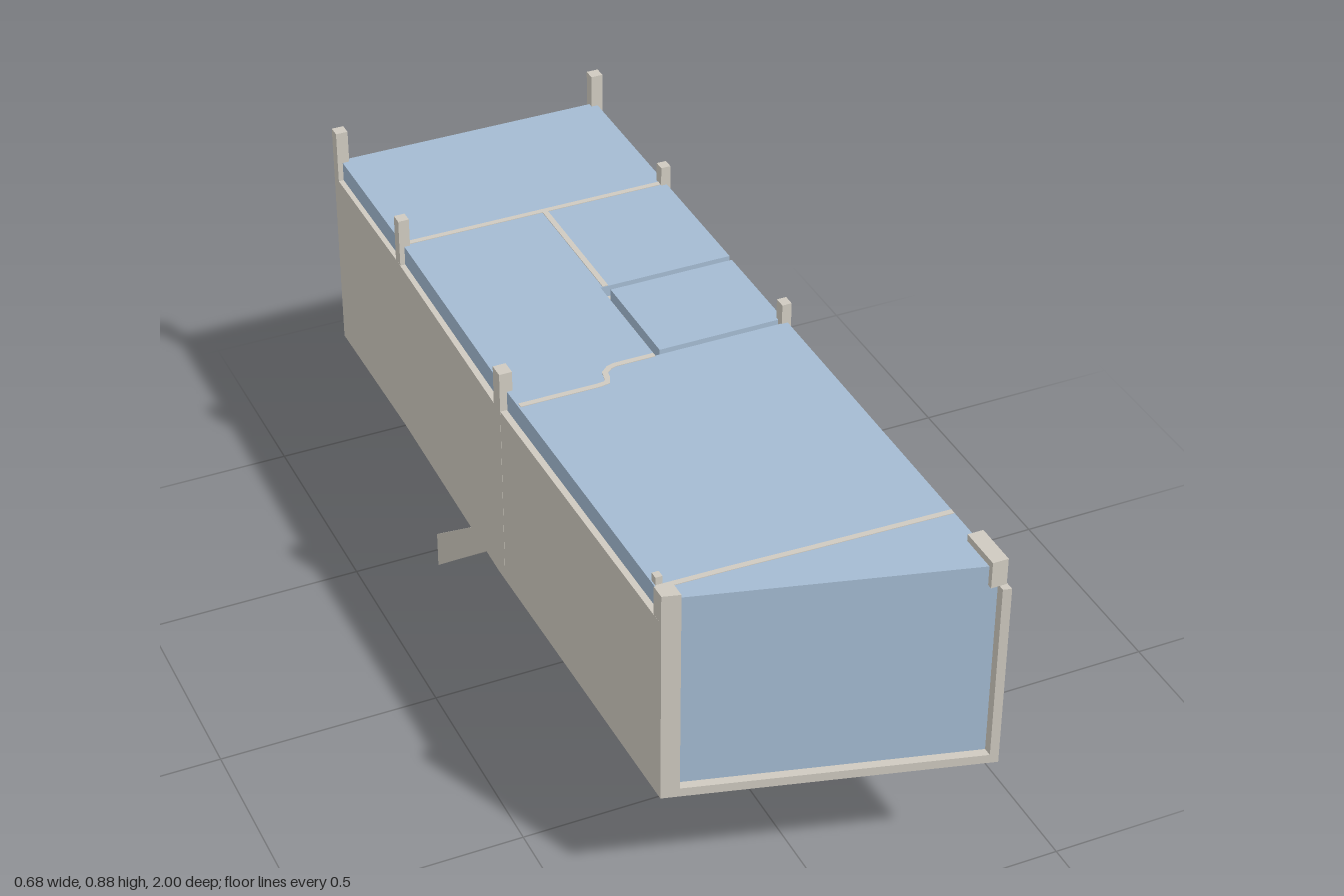
import * as THREE from 'three';

export function createModel() {
  const model = new THREE.Group();
  model.name = 'roomBlock';
  const wallMat = new THREE.MeshStandardMaterial({ color: 0xcfcac0 });
  wallMat.name = 'warm grey wall';
  const roomMat = new THREE.MeshStandardMaterial({ color: 0xa4bbd2 });
  roomMat.name = 'pale blue room';

  function add(name, geometry, material) {
    const mesh = new THREE.Mesh(geometry, material);
    mesh.name = name;
    model.add(mesh);
    return mesh;
  }

  // Upright prism over a plan given as [x, z] corners, with optional holes
  const toVec = ([x, z]) => new THREE.Vector2(x, -z);
  function prism(name, plan, y0, y1, material, holes = []) {
    const shape = new THREE.Shape(plan.map(toVec));
    for (const hole of holes) shape.holes.push(new THREE.Path(hole.map(toVec)));
    const g = new THREE.ExtrudeGeometry(shape, { depth: y1 - y0, bevelEnabled: false });
    g.rotateX(-Math.PI / 2);
    g.translate(0, y0, 0);
    return add(name, g, material);
  }
  const rect = (x0, x1, z0, z1) => [[x0, z0], [x1, z0], [x1, z1], [x0, z1]];
  const block = (name, x0, x1, z0, z1, y0, y1, mat = wallMat) =>
    prism(name, rect(x0, x1, z0, z1), y0, y1, mat);

  const base = 0.305, floor = 0.326, wallTop = 0.75, roomTop = 0.796;
  // z of the slanted front edge at a given x
  const frontZ = (x) => 0.82 + (x + 0.33) * (0.18 / 0.67);

  // Floor slab with a shaft opening and a stair opening
  const shaft = rect(0.03, 0.305, -0.222, 0.012);
  const stairwell = rect(-0.318, -0.19, -0.575, -0.12);
  prism('floorSlab',
    [[-0.33, 0.82], [-0.341, 0], [-0.328, -0.6], [-0.328, -1], [0.336, -1], [0.332, -0.6], [0.337, 0], [0.34, 1]],
    base, floor, wallMat, [shaft, stairwell]);
  prism('stairwellTrim', rect(-0.322, -0.175, -0.58, -0.1), 0.301, base, wallMat, [stairwell]);

  // Outer walls: left, back and right, with a gap for the tall window
  prism('outerWall', [
    [-0.33, 0.82], [-0.341, 0], [-0.328, -0.6], [-0.328, -1], [0.336, -1], [0.332, -0.6], [0.335, -0.24],
    [0.322, -0.24], [0.322, -0.985], [-0.316, -0.985], [-0.316, -0.6], [-0.326, 0], [-0.316, frontZ(-0.316)],
  ], floor, wallTop, wallMat);
  prism('frontSideWall',
    [[0.322, 0.045], [0.337, 0.045], [0.34, 1], [0.322, frontZ(0.322)]], floor, wallTop, wallMat);

  // Main room volume, notched around the small room
  prism('mainRoom', [
    [-0.316, frontZ(-0.316) - 0.02], [-0.325, 0], [-0.316, -0.6], [-0.316, -0.985], [0.324, -0.985],
    [0.324, -0.248], [0.013, -0.248], [0.013, 0.04], [0.324, 0.04], [0.324, frontZ(0.324) - 0.02],
  ], floor, roomTop, roomMat);
  block('smallRoom', 0.03, 0.322, -0.232, 0.024, floor, roomTop, roomMat);

  // Low wall in the gap around the small room
  prism('smallRoomWall', [
    [0.325, -0.247], [0.014, -0.247], [0.014, 0.039], [0.325, 0.039],
    [0.325, 0.025], [0.029, 0.025], [0.029, -0.233], [0.325, -0.233],
  ], floor, 0.77, wallMat);

  // Partition tops, drawn as flat bands along a path
  function partition(name, points, width = 0.013) {
    const p = points.map(([x, z]) => new THREE.Vector2(x, z));
    const sides = [[], []];
    p.forEach((v, i) => {
      const dir = p[Math.min(i + 1, p.length - 1)].clone().sub(p[Math.max(i - 1, 0)]).normalize();
      sides[0].push([v.x - dir.y * width / 2, v.y + dir.x * width / 2]);
      sides[1].unshift([v.x + dir.y * width / 2, v.y - dir.x * width / 2]);
    });
    prism(name, [...sides[0], ...sides[1]], roomTop - 0.004, roomTop + 0.0015, wallMat);
  }
  partition('rearPartition', [[-0.315, -0.59], [0.323, -0.59]]);
  partition('middlePartition', [[0.025, -0.59], [0.025, -0.249]]);
  partition('frontPartition', [[-0.315, 0.765], [-0.16, 0.768], [0.02, 0.775], [0.323, 0.784]]);
  partition('curvedPartition', [
    [-0.32, 0.092], [-0.14, 0.093], [-0.12, 0.09], [-0.114, 0.075],
    [-0.11, 0.055], [-0.095, 0.042], [-0.08, 0.037], [0.012, 0.037],
  ]);

  // Posts rising above the walls
  const posts = [
    ['backRightPost', -0.328, -0.3, -1, -0.972, 0.875],
    ['backLeftPost', 0.309, 0.337, -1, -0.972, 0.875],
    ['rearRightPost', -0.328, -0.303, -0.605, -0.578, 0.864],
    ['rearLeftPost', 0.31, 0.333, -0.605, -0.58, 0.842],
    ['middleRightPost', -0.341, -0.312, 0, 0.035, 0.843],
    ['windowPost', 0.31, 0.332, 0.015, 0.042, 0.843],
    ['frontRightStub', -0.314, -0.299, 0.74, 0.758, 0.815],
  ];
  for (const [name, x0, x1, z0, z1, top] of posts) block(name, x0, x1, z0, z1, floor, top);
  block('frontLeftBlock', 0.303, 0.338, 0.88, 0.982, wallTop, 0.812);
  prism('frontRightPost',
    [[-0.33, 0.785], [-0.292, 0.79], [-0.292, frontZ(-0.292)], [-0.33, 0.82]], base, 0.818, wallMat);

  // Stair: profiles are [z, y] outlines extruded across x
  function sideProfile(name, outline, x0, x1) {
    const shape = new THREE.Shape(outline.map(([z, y]) => new THREE.Vector2(-z, y)));
    const g = new THREE.ExtrudeGeometry(shape, { depth: x1 - x0, bevelEnabled: false });
    g.rotateY(Math.PI / 2);
    g.translate(x0, 0, 0);
    add(name, g, wallMat);
  }
  const stringer = [[-0.095, 0.304], [-0.17, 0.304], [-0.445, 0.09], [-0.445, 0], [-0.122, 0.268], [-0.122, 0.296]];
  sideProfile('rightStringer', stringer, -0.318, -0.312);
  sideProfile('leftStringer', stringer, -0.194, -0.188);
  const treads = [[-0.445, 0.001]];
  const steps = 9, run = 0.036, rise = 0.0285;
  for (let i = 0; i < steps; i++) {
    const z = -0.445 + i * run, y = 0.042 + i * rise;
    treads.push([z, y], [z + run, y]);
  }
  treads.push([-0.121, 0.269]);
  sideProfile('steps', treads, -0.312, -0.194);

  return model;
}
